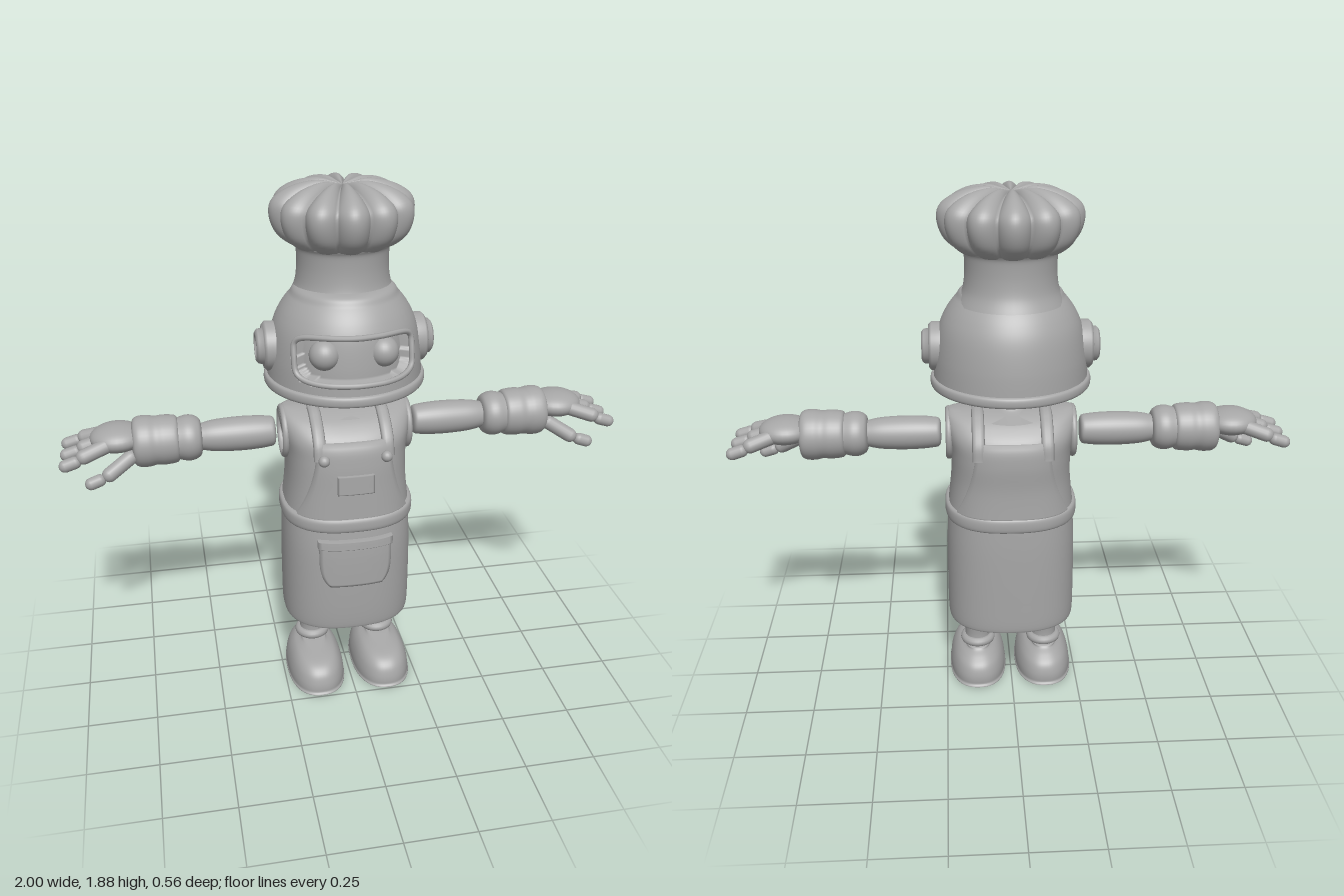
import * as THREE from 'three';

const grey = new THREE.MeshStandardMaterial({ color: 0xa6a6a6, side: THREE.DoubleSide });
grey.name = 'plain grey';

function add(parent, name, geo, x = 0, y = 0, z = 0) {
  const m = new THREE.Mesh(geo, grey);
  m.name = name;
  m.position.set(x, y, z);
  parent.add(m);
  return m;
}

// smooth a list of cross-section rows [y, halfX, zFront, zBack]
function smooth(rows, n = 6) {
  const out = [];
  for (let i = 0; i < rows.length - 1; i++) {
    const [a, b, c, d] = [rows[Math.max(i - 1, 0)], rows[i], rows[i + 1], rows[Math.min(i + 2, rows.length - 1)]];
    for (let k = 0; k < n; k++) {
      const t = k / n;
      out.push(b.map((v, j) => {
        const m0 = (c[j] - a[j]) / 2, m1 = (d[j] - v) / 2;
        return v + t * m0 + t * t * (3 * (c[j] - v) - 2 * m0 - m1) + t * t * t * (2 * (v - c[j]) + m0 + m1);
      }));
    }
  }
  out.push(rows[rows.length - 1]);
  return out;
}

// closed surface through rows, with superellipse outline; warp moves each point
function loft(rows, e = 2, seg = 64, warp = null) {
  const pos = [], idx = [];
  const pw = v => Math.sign(v) * Math.abs(v) ** (2 / e);
  for (const [y, hx, zf, zb] of rows) for (let j = 0; j < seg; j++) {
    const t = j / seg * Math.PI * 2;
    const p = new THREE.Vector3(hx * pw(Math.cos(t)), y, (zf + zb) / 2 + (zf - zb) / 2 * pw(Math.sin(t)));
    if (warp) warp(p, t);
    pos.push(p.x, p.y, p.z);
  }
  for (let i = 0; i < rows.length - 1; i++) for (let j = 0; j < seg; j++) {
    const a = i * seg + j, b = i * seg + (j + 1) % seg, c = a + seg, d = b + seg;
    idx.push(a, c, b, b, c, d);
  }
  return finish(pos, idx);
}

function finish(pos, idx) {
  const g = new THREE.BufferGeometry();
  g.setAttribute('position', new THREE.Float32BufferAttribute(pos, 3));
  g.setIndex(idx);
  g.computeVertexNormals();
  return g;
}

// z of a lofted surface at (x, y), side = 1 front, -1 back
function surfaceZ(rows, e, x, y, side) {
  let i = 0;
  while (i < rows.length - 2 && rows[i + 1][0] < y) i++;
  const t = THREE.MathUtils.clamp((y - rows[i][0]) / (rows[i + 1][0] - rows[i][0]), 0, 1);
  const [, hx, zf, zb] = rows[i].map((v, j) => v + t * (rows[i + 1][j] - v));
  const k = Math.max(0, 1 - Math.min(1, Math.abs(x) / hx) ** e) ** (1 / e);
  return (zf + zb) / 2 + side * (zf - zb) / 2 * k;
}

// raised cloth panel that follows a lofted surface
function panel(rows, e, side, width, y0, y1, lift) {
  const pos = [], idx = [], n = 24;
  for (let i = 0; i <= n; i++) for (let j = 0; j <= n; j++) {
    const edge = i === 0 || j === 0 || i === n || j === n;
    const v = THREE.MathUtils.clamp((i - 1) / (n - 2), 0, 1), u = THREE.MathUtils.clamp((j - 1) / (n - 2), 0, 1);
    const y = y0 + (y1 - y0) * v, x = width(v) * (2 * u - 1);
    pos.push(x, y, surfaceZ(rows, e, x, y, side) + side * (edge ? -0.005 : lift));
  }
  for (let i = 0; i < n; i++) for (let j = 0; j < n; j++) {
    const a = i * (n + 1) + j, b = a + 1, c = a + n + 1, d = c + 1;
    if (side > 0) idx.push(a, b, c, b, d, c); else idx.push(a, c, b, b, c, d);
  }
  return finish(pos, idx);
}

const round = (pts, seg = 48) => new THREE.LatheGeometry(pts.map(p => new THREE.Vector2(p[0], p[1])), seg);
const softRound = (pts, seg = 40) => new THREE.LatheGeometry(
  new THREE.SplineCurve(pts.map(p => new THREE.Vector2(p[0], p[1]))).getPoints(pts.length * 5), seg);

// capsule between two points
function limb(parent, name, a, b, r) {
  const A = new THREE.Vector3(...a), B = new THREE.Vector3(...b);
  const m = add(parent, name, new THREE.CapsuleGeometry(r, A.distanceTo(B), 6, 16));
  m.position.copy(A).lerp(B, 0.5);
  m.quaternion.setFromUnitVectors(new THREE.Vector3(0, 1, 0), B.sub(A).normalize());
}

function buildBody(g) {
  const torso = smooth([[0.73, 0.23, 0.215, -0.195], [0.85, 0.217, 0.21, -0.19], [0.95, 0.217, 0.205, -0.195],
    [1.02, 0.228, 0.19, -0.185], [1.07, 0.235, 0.14, -0.14], [1.1, 0.228, 0.08, -0.09], [1.112, 0.19, 0.03, -0.04], [1.112, 0, 0, 0]]);
  add(g, 'torso', loft(torso, 2.6));
  const skirt = smooth([[0.285, 0.225, 0.205, -0.185], [0.285, 0.236, 0.218, -0.2], [0.4, 0.238, 0.226, -0.203],
    [0.6, 0.236, 0.228, -0.203], [0.73, 0.228, 0.218, -0.198]]);
  add(g, 'skirt', loft(skirt, 2.5));
  add(g, 'skirtLining', loft([[0.72, 0, 0, 0], [0.72, 0.215, 0.2, -0.18], [0.285, 0.226, 0.206, -0.186]], 2.5));
  add(g, 'waistBand', loft(smooth([[0.695, 0.22, 0.21, -0.19], [0.7, 0.238, 0.235, -0.206], [0.725, 0.242, 0.24, -0.21],
    [0.748, 0.238, 0.235, -0.206], [0.754, 0.22, 0.21, -0.19]], 4), 2.5));

  // apron bibs and pockets
  const bib = v => 0.13 + 0.075 * (1 - v) ** 2;
  add(g, 'frontBib', panel(torso, 2.6, 1, bib, 0.74, 1.03, 0.016));
  add(g, 'backBib', panel(torso, 2.6, -1, bib, 0.74, 1.03, 0.01));
  add(g, 'bibPocket', panel(torso, 2.6, 1, () => 0.065, 0.85, 0.92, 0.026));
  add(g, 'apronPocket', panel(skirt, 2.5, 1, v => 0.13 - 0.035 * (1 - v) ** 6, 0.48, 0.66, 0.018));
  add(g, 'pocketFlap', panel(skirt, 2.5, 1, () => 0.135, 0.635, 0.665, 0.024));

  for (const s of [1, -1]) {
    // strap over the shoulder
    const ys = [0.97, 1.02, 1.06, 1.09, 1.105];
    const at = (y, side) => new THREE.Vector3(0, y, surfaceZ(torso, 2.6, 0.12, y, side) + side * 0.006);
    const path = [...ys.map(y => at(y, 1)), ...ys.slice().reverse().map(y => at(y, -1))];
    const strap = new THREE.TubeGeometry(new THREE.CatmullRomCurve3(path), 50, 0.013, 10);
    strap.scale(1.7, 1, 1);
    add(g, 'shoulderStrap', strap, s * 0.12, 0, 0);
    add(g, 'strapButton', new THREE.SphereGeometry(0.02, 16, 12), s * 0.11, 0.98, 0.215);
    const hole = add(g, 'armhole', new THREE.TorusGeometry(0.085, 0.012, 10, 40), s * 0.222, 1.01, 0);
    hole.rotation.y = Math.PI / 2;
  }
}

function buildHead(g) {
  add(g, 'neck', softRound([[0.13, 1.085], [0.06, 1.11], [0.055, 1.13], [0.1, 1.145], [0.095, 1.17]]), 0, 0, -0.01);
  add(g, 'chin', softRound([[0, 1.16], [0.12, 1.163], [0.21, 1.178], [0.255, 1.2], [0.272, 1.215]]));
  add(g, 'brim', softRound([[0.255, 1.195], [0.277, 1.2], [0.282, 1.215], [0.278, 1.232], [0.262, 1.238]], 64));

  // helmet shell with a recessed visor window
  const shell = smooth([[1.21, 0.271], [1.31, 0.265], [1.4, 0.25], [1.46, 0.226], [1.51, 0.19], [1.545, 0.15], [1.555, 0]]
    .map(([y, r]) => [y, r, r, -r]), 16);
  const cy = 1.35, hw = 0.2, hh = 0.078;
  add(g, 'helmet', loft(shell, 2, 200, p => {
    const d = Math.abs(p.x / hw) ** 5 + Math.abs((p.y - cy) / hh) ** 5;
    if (p.z > 0 && d < 1) { p.x *= 0.84; p.z *= 0.84; }
  }));
  const frame = [];
  for (let i = 0; i < 60; i++) {
    const t = i / 60 * Math.PI * 2, c = Math.cos(t), s = Math.sin(t);
    const x = hw * Math.sign(c) * Math.abs(c) ** 0.4, y = cy + hh * Math.sign(s) * Math.abs(s) ** 0.4;
    frame.push(new THREE.Vector3(x, y, surfaceZ(shell, 2, x, y, 1)));
  }
  add(g, 'visorFrame', new THREE.TubeGeometry(new THREE.CatmullRomCurve3(frame, true), 160, 0.01, 8, true));

  for (const s of [1, -1]) {
    add(g, 'eye', new THREE.SphereGeometry(0.052, 28, 20), s * 0.1, 1.355, 0.178);
    const ear = add(g, 'earDisc', round([[0.085, -0.04], [0.085, 0.008], [0.075, 0.018], [0.062, 0.018], [0.06, 0.035],
      [0.05, 0.043], [0.037, 0.043], [0.033, 0.02], [0, 0.02]]), s * 0.266, 1.335, 0);
    ear.rotation.z = -s * Math.PI / 2;
    add(g, 'earKnob', new THREE.SphereGeometry(0.02, 16, 12), s * 0.284, 1.335, 0);
  }

  // pleated hat
  add(g, 'hatBand', softRound([[0.185, 1.5], [0.165, 1.545], [0.157, 1.6], [0.158, 1.66], [0.165, 1.68]], 48), 0, 0, -0.025);
  const puff = smooth([[1.67, 0.14], [1.68, 0.18], [1.72, 0.226], [1.78, 0.246], [1.83, 0.232], [1.868, 0.17],
    [1.884, 0.09], [1.875, 0.03], [1.868, 0]].map(([y, r]) => [y, r, r, -r]), 5);
  add(g, 'hatPuff', loft(puff, 2, 192, (p, t) => {
    const groove = 1 - Math.abs(Math.cos(6 * t)) ** 0.8, k = 1 - 0.16 * groove;
    p.y -= 0.022 * groove * THREE.MathUtils.smoothstep(p.y, 1.78, 1.88) * Math.min(1, Math.hypot(p.x, p.z) / 0.08);
    p.x *= k; p.z *= k;
  }), 0, 0, -0.03);
}

function buildArm(side) {
  const arm = new THREE.Group();
  arm.name = side > 0 ? 'leftArm' : 'rightArm';
  // lathe profiles [radius, x] turned to lie along x
  const along = (name, pts, y, sz) => {
    const m = add(arm, name, softRound(pts), 0, y, 0);
    m.rotation.z = -Math.PI / 2;
    m.scale.z = sz;
  };
  along('upperArm', [[0, 0.25], [0.045, 0.253], [0.056, 0.28], [0.061, 0.36], [0.058, 0.45], [0.05, 0.5], [0.04, 0.52], [0, 0.53]], 1.012, 1);
  along('gloveSleeve', [[0, 0.51], [0.055, 0.512], [0.075, 0.53], [0.081, 0.56], [0.073, 0.595], [0.07, 0.62]], 1.012, 1.03);
  along('gloveCuff', [[0.068, 0.59], [0.083, 0.6], [0.088, 0.64], [0.086, 0.67], [0.091, 0.7], [0.087, 0.735], [0.065, 0.75], [0, 0.755]], 1.012, 1);
  const palm = add(arm, 'palm', new THREE.SphereGeometry(1, 32, 20), 0.8, 1.035, -0.005);
  palm.scale.set(0.095, 0.048, 0.09);
  for (const z of [-0.085, 0, 0.08]) {
    limb(arm, 'fingerBase', [0.84, 1.03, z * 0.7], [0.915, 1.008, z], 0.026);
    limb(arm, 'fingerTip', [0.945, 0.993, z * 1.08], [0.978, 0.983, z * 1.1], 0.022);
  }
  limb(arm, 'thumbBase', [0.76, 0.98, 0.055], [0.835, 0.935, 0.085], 0.026);
  limb(arm, 'thumbTip', [0.87, 0.92, 0.092], [0.898, 0.911, 0.095], 0.022);
  arm.scale.x = side;
  return arm;
}

function buildLeg(side) {
  const leg = new THREE.Group();
  leg.name = side > 0 ? 'leftLeg' : 'rightLeg';
  add(leg, 'shin', softRound([[0.052, 0.12], [0.048, 0.17], [0.056, 0.24], [0.063, 0.3], [0.075, 0.5], [0.075, 0.72]]));
  add(leg, 'ankleCuff', new THREE.TorusGeometry(0.048, 0.018, 12, 36), 0, 0.143, 0).rotation.x = Math.PI / 2;
  const shoe = smooth([[0, 0, 0.05, 0.05], [0, 0.1, 0.232, -0.133], [0.012, 0.106, 0.24, -0.14], [0.045, 0.104, 0.237, -0.14],
    [0.08, 0.093, 0.222, -0.128], [0.105, 0.075, 0.185, -0.1], [0.12, 0.05, 0.11, -0.075], [0.13, 0.045, 0.05, -0.06], [0.13, 0, 0, 0]], 5);
  add(leg, 'shoe', loft(shoe, 2.4));
  leg.position.x = side * 0.128;
  return leg;
}

export function createModel() {
  const g = new THREE.Group();
  g.name = 'robotCook';
  buildBody(g);
  buildHead(g);
  for (const s of [1, -1]) g.add(buildArm(s), buildLeg(s));
  return g;
}
